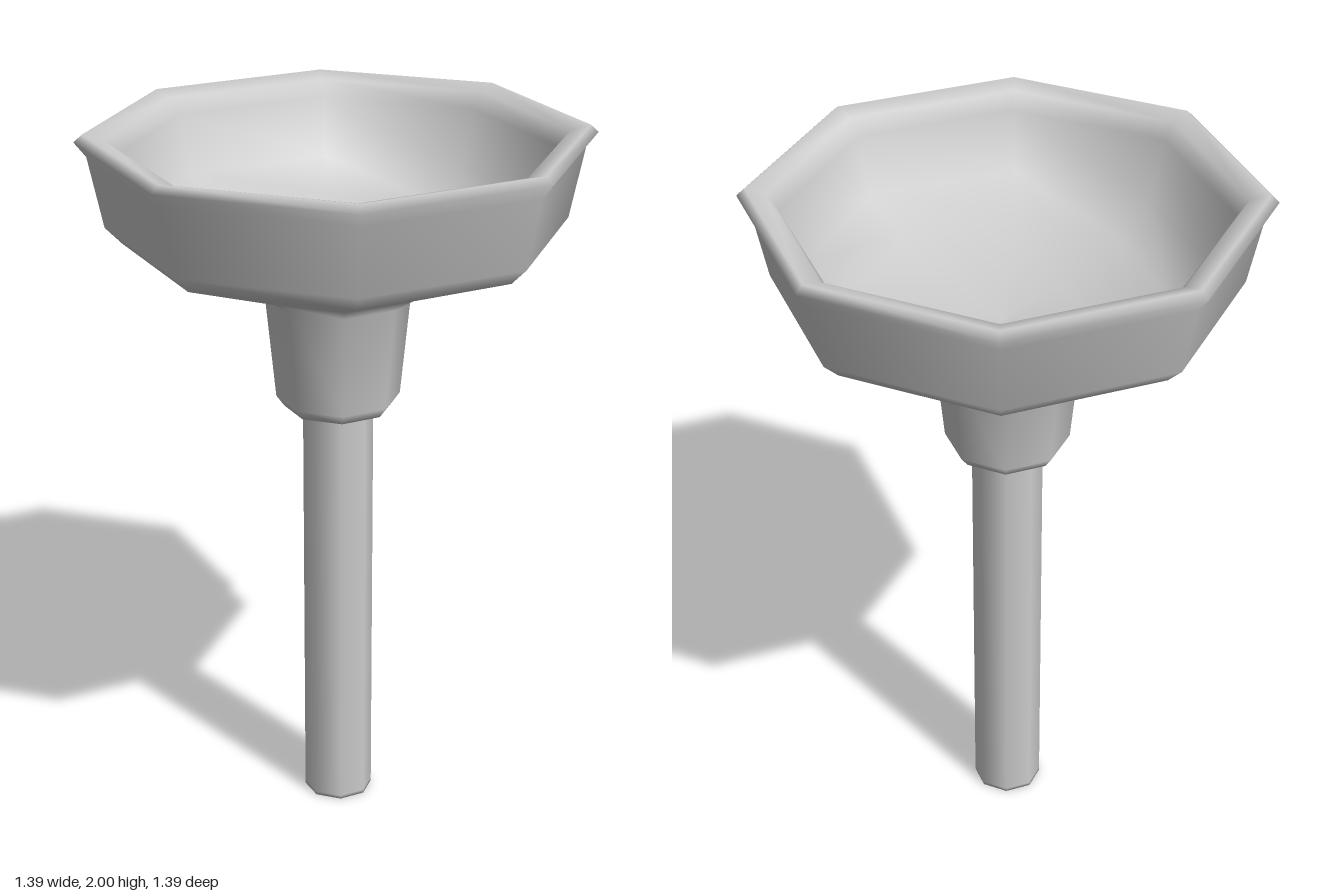
import * as THREE from 'three';

const SIDES = 8;
const material = new THREE.MeshStandardMaterial({ color: 0xcccccc });

// Eight-sided turned part; profile runs up the outside, then down the inside
function turned(name, profile) {
  const points = profile.map(([r, y]) => new THREE.Vector2(r, y));
  const mesh = new THREE.Mesh(new THREE.LatheGeometry(points, SIDES), material);
  mesh.name = name;
  return mesh;
}

export function createModel() {
  const group = new THREE.Group();
  group.name = 'plunger';

  // Hollow cup with its socket neck and flared lip
  group.add(turned('cup', [
    [0, 1.22], [0.15, 1.22], [0.172, 1.25], [0.2, 1.54], [0.26, 1.58],
    [0.58, 1.70], [0.625, 1.745], [0.665, 1.94], [0.697, 1.98], [0.675, 2.0],
    [0.62, 1.985], [0.59, 1.94], [0.54, 1.78], [0.42, 1.70], [0.2, 1.635], [0, 1.62],
  ]));

  // Straight handle, pushed into the socket
  group.add(turned('handle', [[0, 0], [0.098, 0], [0.098, 0.01], [0.098, 1.3]]));

  return group;
}
